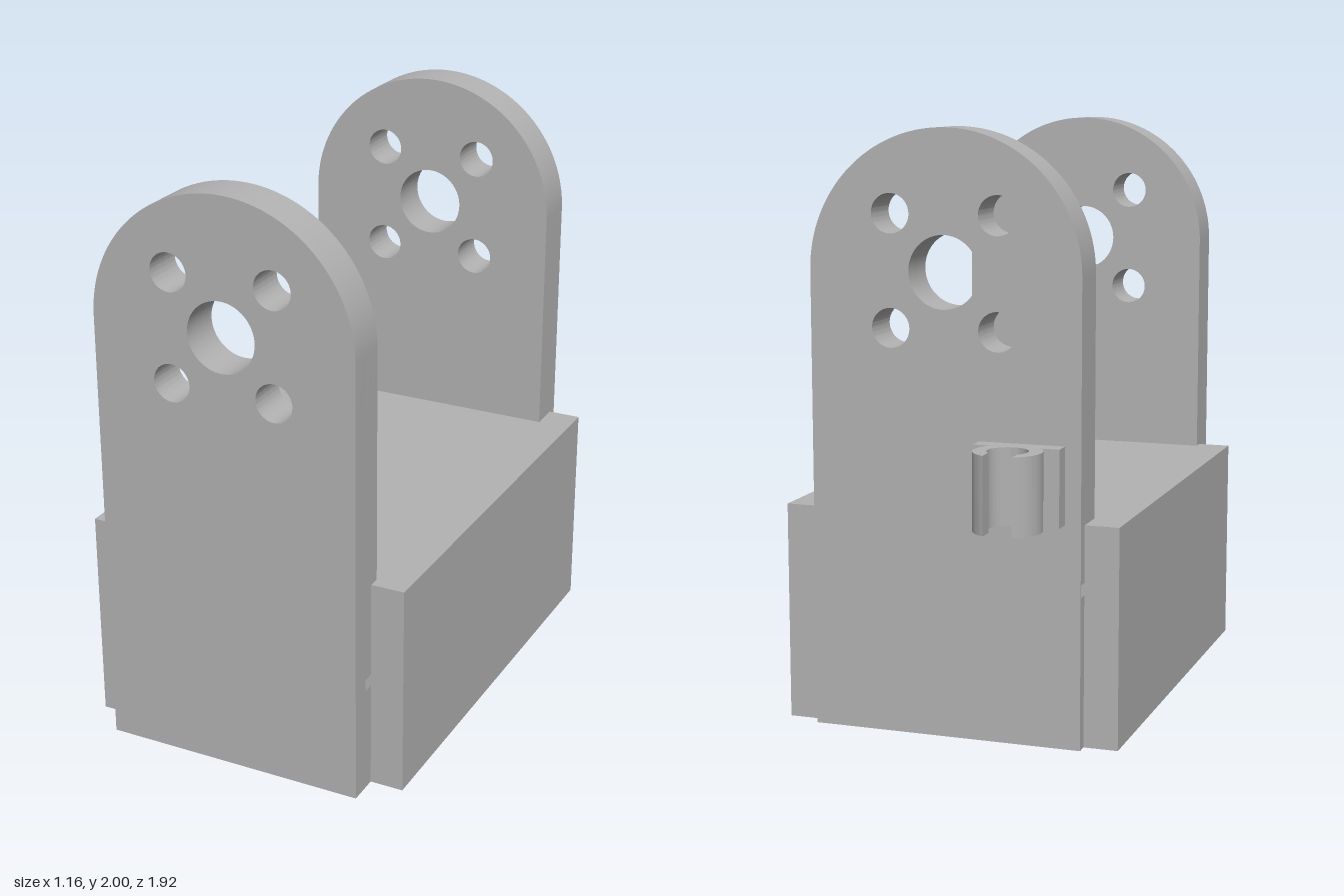
import * as THREE from 'three';
import { toCreasedNormals } from 'three/addons/utils/BufferGeometryUtils.js';

const grey = new THREE.MeshStandardMaterial({ color: 0xb2b2b2 });
grey.name = 'grey';

const HALF = 0.58, HEIGHT = 0.74, BACK = -0.685, FRONT = 0.85, WALL = 0.11;
const PLATE_R = 0.464, ARCH_Y = 2 - PLATE_R;
const SCREW_X = 0.38, RECESS_R = 0.0865;

function addMesh(group, name, geometry) {
  const mesh = new THREE.Mesh(geometry, grey);
  mesh.name = name;
  group.add(mesh);
}

function addBox(group, name, x0, x1, y0, y1, z0, z1) {
  const g = new THREE.BoxGeometry(x1 - x0, y1 - y0, z1 - z0);
  g.translate((x0 + x1) / 2, (y0 + y1) / 2, (z0 + z1) / 2);
  addMesh(group, name, g);
}

function extrude(shape, depth) {
  const g = new THREE.ExtrudeGeometry(shape, { depth, bevelEnabled: false, curveSegments: 32 });
  return toCreasedNormals(g, 0.6);
}

function addHole(shape, x, y, r) {
  shape.holes.push(new THREE.Path().absarc(x, y, r, 0, Math.PI * 2, true));
}

// Arched plate layer; an optional round screw recess breaks through each side edge
function addPlate(group, name, z0, z1, bottom, recessY) {
  const s = new THREE.Shape();
  const a = Math.acos((PLATE_R - SCREW_X) / RECESS_R);
  s.moveTo(-PLATE_R, bottom);
  s.lineTo(PLATE_R, bottom);
  if (recessY) s.absarc(SCREW_X, recessY, RECESS_R, -a, a, true);
  s.lineTo(PLATE_R, ARCH_Y);
  s.absarc(0, ARCH_Y, PLATE_R, 0, Math.PI, false);
  if (recessY) s.absarc(-SCREW_X, recessY, RECESS_R, Math.PI - a, Math.PI + a, true);
  s.closePath();

  // Shaft hole and four bolt holes
  addHole(s, 0, 1.54, 0.12);
  for (const x of [-0.183, 0.183]) {
    for (const dy of [-0.185, 0.185]) addHole(s, x, 1.54 + dy, 0.065);
  }
  addMesh(group, name, extrude(s, z1 - z0).translate(0, 0, z0));
}

// End wall of the hollow base with a pair of screw holes
function addEndWall(group, name, z0, holeY) {
  const s = new THREE.Shape();
  s.moveTo(-HALF, 0);
  s.lineTo(HALF, 0);
  s.lineTo(HALF, HEIGHT);
  s.lineTo(-HALF, HEIGHT);
  s.closePath();
  for (const x of [-SCREW_X, SCREW_X]) addHole(s, x, holeY, 0.037);
  addMesh(group, name, extrude(s, WALL).translate(0, 0, z0));
}

export function createModel() {
  const model = new THREE.Group();
  model.name = 'bracket';

  // Hollow base, open underneath
  const base = new THREE.Group();
  base.name = 'base';
  const zIn0 = BACK + WALL, zIn1 = FRONT - WALL, xIn = HALF - WALL;
  addEndWall(base, 'frontWall', zIn1, 0.39);
  addEndWall(base, 'backWall', BACK, 0.53);
  addBox(base, 'leftWall', xIn, HALF, 0, HEIGHT, zIn0, zIn1);
  addBox(base, 'rightWall', -HALF, -xIn, 0, HEIGHT, zIn0, zIn1);
  addBox(base, 'baseTop', -xIn, xIn, HEIGHT - WALL, HEIGHT, zIn0, zIn1);
  model.add(base);

  // Front plate in layers, with the recess behind its outer face
  const front = new THREE.Group();
  front.name = 'frontPlate';
  addPlate(front, 'frontInnerLayer', 0.81, FRONT, HEIGHT);
  addPlate(front, 'frontRecessLayer', FRONT, 0.89, 0, 0.39);
  addPlate(front, 'frontOuterLayer', 0.89, 0.96, 0);
  model.add(front);

  // Back plate
  const back = new THREE.Group();
  back.name = 'backPlate';
  addPlate(back, 'backInnerLayer', BACK, -0.575, HEIGHT);
  addPlate(back, 'backRecessLayer', -0.72, BACK, 0, 0.53);
  addPlate(back, 'backOuterLayer', -0.725, -0.72, 0);
  model.add(back);

  // Cable clip: mounting pad and split ring
  const clip = new THREE.Group();
  clip.name = 'cableClip';
  addBox(clip, 'clipPad', -0.41, -0.12, 0.745, 1, -0.785, -0.725);
  const gap = 0.047, rOut = 0.112, rIn = 0.067;
  const aOut = Math.acos(gap / rOut), aIn = Math.acos(gap / rIn);
  const ring = new THREE.Shape();
  ring.absarc(0, 0, rOut, Math.PI - aOut, Math.PI * 2 + aOut, false);
  ring.absarc(0, 0, rIn, aIn, Math.PI - aIn, true);
  ring.closePath();
  const ringGeo = extrude(ring, 0.255);
  ringGeo.rotateX(-Math.PI / 2).translate(-0.263, 0.745, -0.858);
  addMesh(clip, 'clipRing', ringGeo);
  model.add(clip);

  return model;
}
